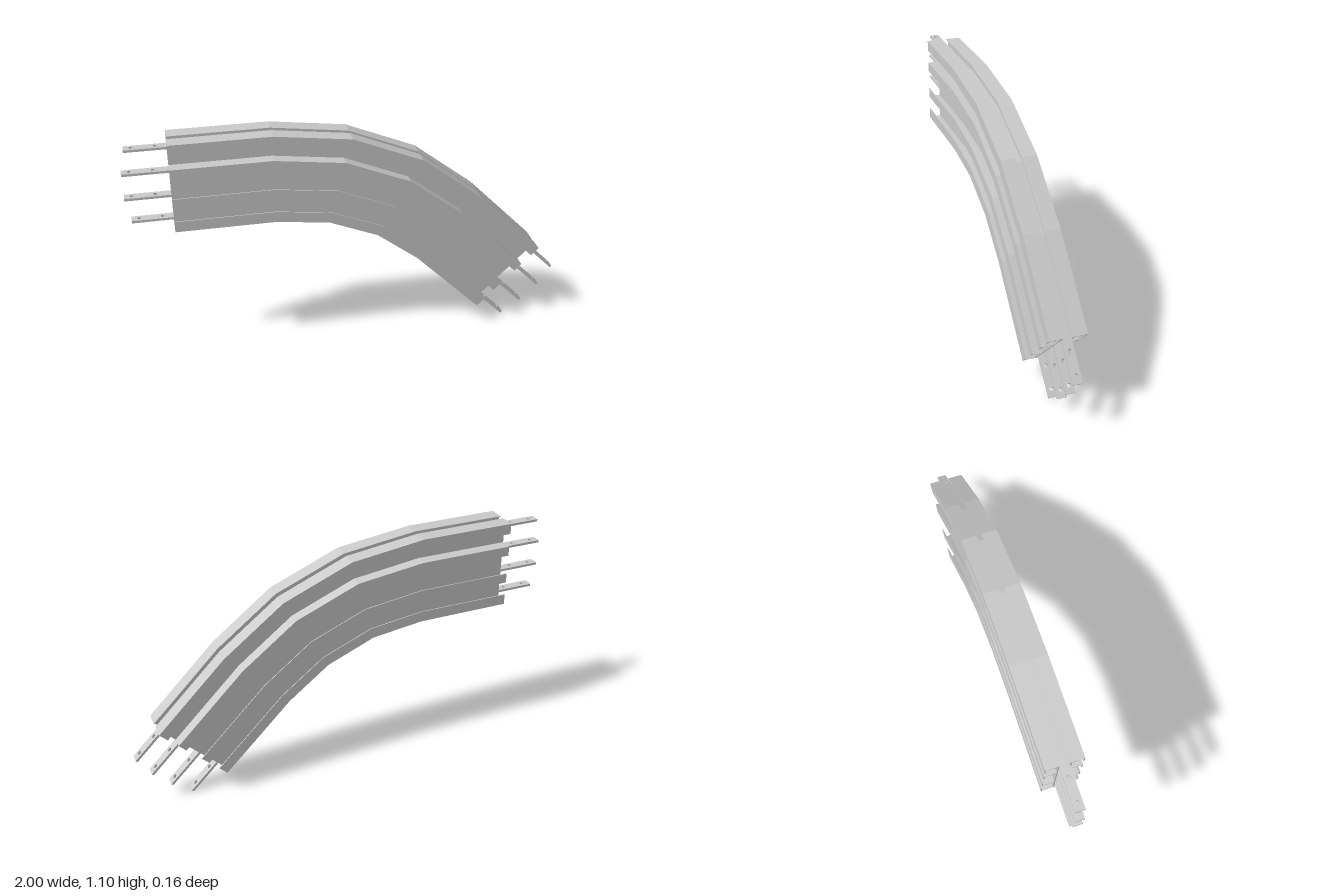
import * as THREE from 'three';

const CX = -0.36, CY = -0.23;    // bend centre
const RADIUS = 1.125;            // bend radius at mid height
const STRAIGHT = 0.44;           // straight run at each end
const BEND = Math.PI / 4, STEPS = 3;
const SHEET = 0.004, BAR_T = 0.011, BAR_W = 0.043;

const material = new THREE.MeshStandardMaterial({ color: 0xcccccc, flatShading: true });

// Point on the path at station i (0..5), offset v outward from mid height
function pathPoint(i, v) {
  const step = Math.min(Math.max(i - 1, 0), STEPS);
  const a = (step / STEPS) * BEND;
  const run = i === 0 ? -STRAIGHT : i === STEPS + 2 ? STRAIGHT : 0;
  const r = RADIUS + v;
  return [CX + r * Math.sin(a) + run * Math.cos(a), CY + r * Math.cos(a) - run * Math.sin(a)];
}

// Rectangular strip (z0..z1, v0..v1) bent along the path
function strip(name, z0, z1, v0, v1) {
  const n = STEPS + 2;
  const geo = new THREE.BoxGeometry(n, v1 - v0, z1 - z0, n, 1, 1);
  geo.translate(n / 2, (v0 + v1) / 2, (z0 + z1) / 2);
  const p = geo.attributes.position;
  for (let k = 0; k < p.count; k++) {
    const [x, y] = pathPoint(Math.round(p.getX(k)), p.getY(k));
    p.setXY(k, x, y);
  }
  geo.computeVertexNormals();
  const mesh = new THREE.Mesh(geo, material);
  mesh.name = name;
  return mesh;
}

// Flat connector tab along +x with two bolt holes
function tab(length, v) {
  const w = BAR_W / 2;
  const shape = new THREE.Shape();
  shape.moveTo(0, -w).lineTo(length, -w).lineTo(length, w).lineTo(0, w).closePath();
  for (const d of [0.034, 0.134]) {
    const hole = new THREE.Path();
    hole.absarc(length - d, 0, 0.009, 0, Math.PI * 2, true);
    shape.holes.push(hole);
  }
  const geo = new THREE.ExtrudeGeometry(shape, { depth: BAR_T, bevelEnabled: false, curveSegments: 8 });
  geo.translate(0, 0, -BAR_T / 2).rotateX(-Math.PI / 2);
  const mesh = new THREE.Mesh(geo, material);
  mesh.name = 'connectorTab';
  mesh.position.y = v;
  return mesh;
}

export function createModel() {
  const model = new THREE.Group();
  model.name = 'busDuctElbow';

  // Two mirrored side housings of folded sheet
  const outer = 0.082, web = 0.024, top = 0.205, mid = 0.092;
  for (const s of [1, -1]) {
    const side = new THREE.Group();
    side.name = s > 0 ? 'frontHousing' : 'backHousing';
    const add = (name, z0, z1, v0, v1) =>
      side.add(strip(name, Math.min(s * z0, s * z1), Math.max(s * z0, s * z1), Math.min(v0, v1), Math.max(v0, v1)));
    add('web', web, web + SHEET, -top, top);
    for (const u of [1, -1]) {
      add('edgeFlange', 0.013, outer, u * (top - SHEET), u * top);
      add('edgeLip', outer - SHEET, outer, u * 0.155, u * top);
      add('middleFlange', web, outer, u * (mid - SHEET), u * mid);
      add('middleLip', outer - SHEET, outer, u * 0.046, u * mid);
    }
    model.add(side);
  }

  // Conductor bars between the webs, with tabs standing out of both ends
  const startTabs = new THREE.Group(), endTabs = new THREE.Group();
  startTabs.name = 'startTabs';
  endTabs.name = 'endTabs';
  for (const [v, length] of [[0.168, 0.18], [0.058, 0.2], [-0.058, 0.2], [-0.168, 0.18]]) {
    model.add(strip('conductorBar', -BAR_W / 2, BAR_W / 2, v - BAR_T / 2, v + BAR_T / 2));
    startTabs.add(tab(length, v));
    endTabs.add(tab(length, v));
  }
  startTabs.position.set(...pathPoint(0, 0), 0);
  startTabs.rotation.y = Math.PI;
  endTabs.position.set(...pathPoint(STEPS + 2, 0), 0);
  endTabs.rotation.z = -BEND;
  model.add(startTabs, endTabs);
  return model;
}
